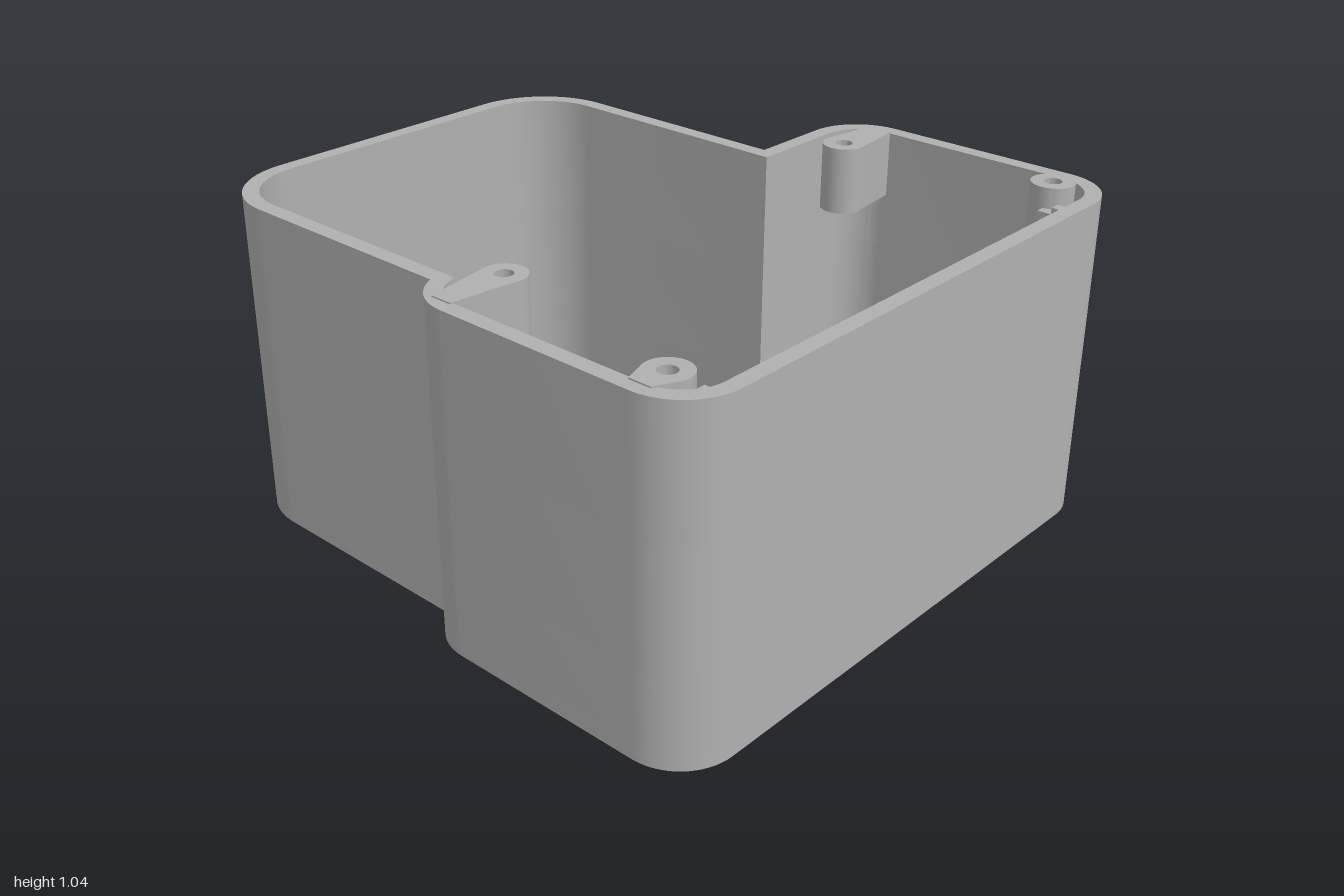
import * as THREE from 'three';
import { toCreasedNormals } from 'three/addons/utils/BufferGeometryUtils.js';

const TOP = 1.04, FLOOR = 0.05, WALL = 0.05;
const SLOT = { z0: 0.78, z1: 0.93, y0: 0.28, y1: 0.65, r: 0.06 };

// Side wall x at a given z around the front right corner
const sideX = (z, d) => {
  const dz = Math.max(0, z - 0.82), r = 0.18 - d;
  return 0.79 + Math.sqrt(Math.max(0, r * r - dz * dz));
};

// Plan outline in (x, z), inset by d; starts on the front right corner
function outline(d, startAngle = 0) {
  const P = Math.PI, r = 0.18 - d, R = 0.27 - d, pts = [];
  const arc = (cx, cz, rad, a, b) => {
    for (let i = 0; i <= 20; i++) {
      const t = a + (b - a) * i / 20;
      pts.push(new THREE.Vector2(cx + rad * Math.cos(t), cz + rad * Math.sin(t)));
    }
  };
  arc(0.79, 0.82, r, startAngle, P / 2);
  arc(-0.79, 0.82, r, P / 2, P);
  arc(-0.79, 0.18, r, P, P + Math.acos((0.07 - d) / r));
  arc(-0.59, -0.73, R, P, 1.5 * P);
  arc(0.25, -0.73, R, 1.5 * P, 2 * P);
  pts.push(new THREE.Vector2(0.52 - d, d));
  arc(0.79, 0.18, r, -P / 2, 0);
  return pts;
}

// Upright prism from a plan shape between two heights
function prism(shape, y0, y1) {
  const g = new THREE.ExtrudeGeometry(shape, { depth: y1 - y0, bevelEnabled: false, curveSegments: 16 });
  g.rotateX(Math.PI / 2).translate(0, y1, 0);
  return toCreasedNormals(g, 0.5);
}

function roundRect(x0, z0, x1, z1, r) {
  const p = new THREE.Path();
  p.absarc(x1 - r, z1 - r, r, 0, Math.PI / 2);
  p.absarc(x0 + r, z1 - r, r, Math.PI / 2, Math.PI);
  p.absarc(x0 + r, z0 + r, r, Math.PI, 1.5 * Math.PI);
  p.absarc(x1 - r, z0 + r, r, 1.5 * Math.PI, 2 * Math.PI);
  p.closePath();
  return p;
}

const circle = (x, z, r) => new THREE.Path().absarc(x, z, r, 0, Math.PI * 2);

export function createModel() {
  const model = new THREE.Group();
  model.name = 'enclosure';
  const grey = new THREE.MeshStandardMaterial({ color: 0xb0b0b0 });
  grey.name = 'grey plastic';
  const add = (name, geometry, parent = model) => {
    const m = new THREE.Mesh(geometry, grey);
    m.name = name;
    parent.add(m);
    return m;
  };

  // Floor with vents, a round hole and a rectangular opening
  const floor = new THREE.Shape(outline(0));
  for (let i = 0; i < 8; i++) {
    const x = -0.537 + i * 0.0961;
    floor.holes.push(roundRect(x - 0.027, 0.09, x + 0.027, 0.285, 0.0265));
  }
  floor.holes.push(circle(0.425, 0.495, 0.065));
  floor.holes.push(roundRect(-0.7, 0.595, -0.445, 0.71, 0.015));
  add('floor', prism(floor, 0, FLOOR));

  // Closed wall bands below and above the side slot
  const ring = new THREE.Shape(outline(0));
  ring.holes.push(new THREE.Path(outline(WALL)));
  add('lowerWall', prism(ring, FLOOR, SLOT.y0));
  add('upperWall', prism(ring, SLOT.y1, TOP));

  // Middle band, left open at the slot
  const openEdge = d => {
    const pts = outline(d, Math.asin((SLOT.z1 - 0.82) / (0.18 - d)));
    pts.push(new THREE.Vector2(0.97 - d, SLOT.z0));
    return pts;
  };
  const band = new THREE.Shape([...openEdge(0), ...openEdge(WALL).reverse()]);
  add('middleWall', prism(band, SLOT.y0, SLOT.y1));

  // Rounded corners of the slot, bent to follow the wall
  const slot = new THREE.Group();
  slot.name = 'slotCorners';
  model.add(slot);
  for (const [z, sz] of [[SLOT.z0, 1], [SLOT.z1, -1]]) {
    for (const [y, sy] of [[SLOT.y0, 1], [SLOT.y1, -1]]) {
      const pts = [new THREE.Vector2(-z, y)];
      for (let i = 0; i <= 8; i++) {
        const a = i / 8 * Math.PI / 2;
        pts.push(new THREE.Vector2(-(z + sz * SLOT.r * (1 - Math.cos(a))), y + sy * SLOT.r * (1 - Math.sin(a))));
      }
      const g = new THREE.ExtrudeGeometry(new THREE.Shape(pts), { depth: 1, bevelEnabled: false });
      const p = g.attributes.position;
      for (let i = 0; i < p.count; i++) {
        const wz = -p.getX(i), inner = sideX(wz, WALL), outer = sideX(wz, 0);
        p.setXYZ(i, inner + (outer - inner) * p.getZ(i), p.getY(i), wz);
      }
      add('slotCorner', toCreasedNormals(g, 0.5), slot);
    }
  }

  // Screw bosses hanging from the rim, each webbed to its side wall
  const bosses = [
    // side, centre x, centre z, web z at wall (back, front)
    [1, 0.735, 0.15, 0.11, 0.195], [-1, 0.71, 0.13, 0.1, 0.17],
    [1, 0.87, 0.82, 0.78, 0.86], [-1, 0.84, 0.82, 0.78, 0.85],
  ];
  for (const [s, cx, cz, zBack, zFront] of bosses) {
    const pts = [];
    for (let i = 0; i <= 24; i++) {
      const a = Math.PI * (0.4 + 1.2 * i / 24);
      pts.push(new THREE.Vector2(s * (cx + 0.067 * Math.cos(a)), cz + 0.067 * Math.sin(a)));
    }
    pts.push(new THREE.Vector2(s * 0.93, zBack), new THREE.Vector2(s * 0.93, zFront));
    const shape = new THREE.Shape(pts);
    shape.holes.push(circle(s * cx, cz, 0.027));
    add('screwBoss', prism(shape, 0.83, TOP + 0.004));
  }

  // Board holders: a rail on the front wall with short prongs, on both sides
  const box = (name, parent, x0, x1, y0, y1, z0, z1) => {
    const g = new THREE.BoxGeometry(x1 - x0, y1 - y0, z1 - z0);
    add(name, g.translate((x0 + x1) / 2, (y0 + y1) / 2, (z0 + z1) / 2), parent);
  };
  for (const s of [1, -1]) {
    const holder = new THREE.Group();
    holder.name = s > 0 ? 'leftBoardHolder' : 'rightBoardHolder';
    const span = (a, b) => s > 0 ? [a, b] : [-b, -a];
    box('rail', holder, ...span(0.775, 0.81), 0.15, 1, 0.875, 0.955);
    for (const [y0, y1] of [[0.9, 0.98], [0.63, 0.72], [0.3, 0.38]]) {
      box('prong', holder, ...span(0.705, 0.78), y0, y1, 0.89, 0.955);
      box('clip', holder, ...span(0.775, 0.81), y0, y1, 0.83, 0.88);
    }
    box('boardRest', holder, ...span(0.705, 0.78), 0.13, 0.19, 0.78, 0.955);
    model.add(holder);
  }
  return model;
}
